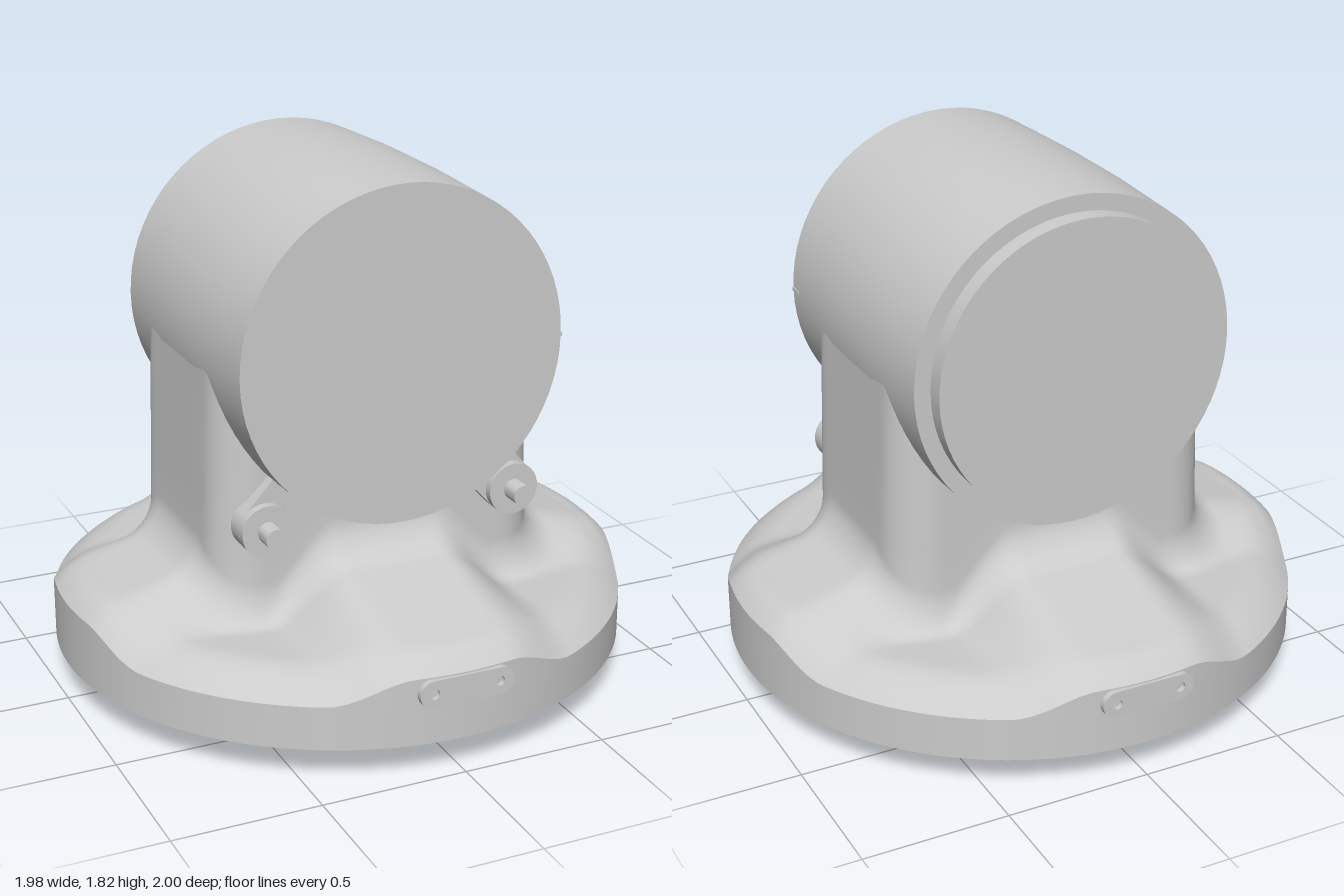
import * as THREE from 'three';
import { toCreasedNormals } from 'three/addons/utils/BufferGeometryUtils.js';

const mat = new THREE.MeshStandardMaterial({ color: 0xcccccc, side: THREE.DoubleSide });
const { smoothstep, lerp } = THREE.MathUtils;
const RIM = 0.99;
const DRUM_Y = 1.247;

function add(parent, name, geometry, x = 0, y = 0, z = 0) {
  const mesh = new THREE.Mesh(geometry, mat);
  mesh.name = name;
  mesh.position.set(x, y, z);
  parent.add(mesh);
  return mesh;
}

// Distance from the centre to the rounded rectangular column along a direction
function columnRadius(c, s, hx, hz = 0.39, round = 0.15) {
  let lo = 0, hi = 1;
  for (let k = 0; k < 30; k++) {
    const r = (lo + hi) / 2;
    const qx = Math.abs(r * c) - hx + round, qz = Math.abs(r * s) - hz + round;
    const d = Math.hypot(Math.max(qx, 0), Math.max(qz, 0)) + Math.min(Math.max(qx, qz), 0) - round;
    if (d < 0) lo = r; else hi = r;
  }
  return lo;
}

// Height of the base top: four sloping arms with flat valleys on the diagonals
function baseHeight(r, c, s) {
  const ax = Math.abs(r * c), az = Math.abs(r * s);
  const arm = 1 - smoothstep(Math.min(ax, az), 0.17, 0.44);
  const ridge = 0.42 + 0.27 * Math.max(0, 0.87 - Math.max(ax, az))
    - 0.07 * (Math.max(0, r - 0.87) / 0.12) ** 2;
  const valley = 0.35 - 0.08 * (Math.max(0, r - 0.83) / 0.16) ** 2;
  return lerp(valley, ridge, arm);
}

// Base and column as one skin, lofted from the underside up to the drum
function bodyGeometry() {
  const N = 160, STEPS = 32, FILLET = 0.12, pos = [], idx = [];
  let rows = 0;
  for (let j = 0; j <= N; j++) {
    const a = (j / N) * Math.PI * 2, c = Math.cos(a), s = Math.sin(a);
    const inner = columnRadius(c, s, 0.59);
    const line = [[0.8, 0.12], [RIM, 0.12]];
    for (let i = 0; i <= STEPS; i++) {
      const t = i / STEPS;
      const r = lerp(RIM, inner, 1 - (1 - t) ** 1.6);
      const k = Math.max(0, FILLET - (r - inner));
      line.push([r, baseHeight(r, c, s) + FILLET - Math.sqrt(Math.max(0, FILLET ** 2 - k * k))]);
    }
    const y0 = line[line.length - 1][1];
    for (let i = 1; i <= 6; i++) {
      line.push([columnRadius(c, s, lerp(0.59, 0.57, i / 6)), lerp(y0, DRUM_Y, i / 6)]);
    }
    rows = line.length;
    for (const [r, y] of line) pos.push(r * c, y, r * s);
  }
  for (let j = 0; j < N; j++) {
    for (let i = 0; i < rows - 1; i++) {
      const p = j * rows + i, q = p + rows;
      idx.push(p, p + 1, q, q, p + 1, q + 1);
    }
  }
  const g = new THREE.BufferGeometry();
  g.setAttribute('position', new THREE.Float32BufferAttribute(pos, 3));
  g.setIndex(idx);
  return toCreasedNormals(g, 0.65);
}

// Solid of revolution about the z axis; profile is [radius, z] from back to front
function turned(profile, sides = 72) {
  const g = new THREE.LatheGeometry(profile.map(([r, z]) => new THREE.Vector2(r, z)), sides);
  return toCreasedNormals(g.rotateX(Math.PI / 2), 0.5);
}

// Slot-shaped plate with two screw holes
function badgeGeometry() {
  const r = 0.047, x = 0.118;
  const shape = new THREE.Shape();
  shape.absarc(x, 0, r, -Math.PI / 2, Math.PI / 2);
  shape.absarc(-x, 0, r, Math.PI / 2, Math.PI * 1.5);
  shape.closePath();
  for (const s of [-1, 1]) {
    shape.holes.push(new THREE.Path().absarc(s * 0.115, 0, 0.017, 0, Math.PI * 2, true));
  }
  return new THREE.ExtrudeGeometry(shape, { depth: 0.04, bevelEnabled: false, curveSegments: 16 });
}

// Clamp lug: rounded strip leaning to the drum, with a boss and a pin
function makeLug(side) {
  const lug = new THREE.Group();
  const shape = new THREE.Shape();
  shape.absarc(0, 0, 0.09, Math.PI, Math.PI * 2);
  shape.lineTo(0.09, 0.15);
  shape.lineTo(-0.09, 0.15);
  shape.closePath();
  const plate = new THREE.ExtrudeGeometry(shape, { depth: 0.07, bevelEnabled: false, curveSegments: 20 });
  add(lug, 'lugPlate', plate, 0, 0, 0.36).rotation.z = side * 0.735;
  add(lug, 'lugBoss', turned([[0, 0.42], [0.09, 0.42], [0.09, 0.46], [0, 0.46]], 32));
  add(lug, 'lugPin', turned([[0, 0.45], [0.036, 0.45], [0.036, 0.53], [0, 0.53]], 24));
  lug.position.set(side * 0.447, 0.695, 0);
  lug.name = side > 0 ? 'leftLug' : 'rightLug';
  return lug;
}

export function createModel() {
  const model = new THREE.Group();
  model.name = 'drumHeadOnBase';

  add(model, 'baseAndColumn', bodyGeometry());
  add(model, 'underPlate', new THREE.CylinderGeometry(0.835, 0.835, 0.025, 96), 0, 0.1175, 0);

  // Key block under the rim, set square to the radius
  const key = add(model, 'keyBlock', new THREE.BoxGeometry(0.09, 0.125, 0.235), 0.8125, 0.0625, 0.405);
  key.rotation.y = -Math.atan2(0.405, 0.8125);

  // Slightly barrelled drum with a smaller back disc
  add(model, 'drum', turned([
    [0, -0.48], [0.566, -0.48], [0.572, -0.3], [0.577, -0.15],
    [0.577, 0.15], [0.572, 0.33], [0.566, 0.53], [0, 0.53],
  ]), 0, DRUM_Y, 0);
  add(model, 'backDisc', turned([[0, -0.545], [0.51, -0.545], [0.51, -0.47], [0, -0.47]]), 0, DRUM_Y, 0);
  add(model, 'indexMark', new THREE.BoxGeometry(0.02, 0.014, 0.055), 0.56, DRUM_Y, 0.503);

  for (const side of [-1, 1]) model.add(makeLug(side));

  // Front and back plates on the rim
  for (const turn of [0, Math.PI]) {
    const holder = new THREE.Group();
    holder.name = turn ? 'backBadge' : 'frontBadge';
    holder.rotation.y = turn;
    add(holder, 'badgePlate', badgeGeometry(), 0, 0.298, 0.96);
    model.add(holder);
  }
  return model;
}
